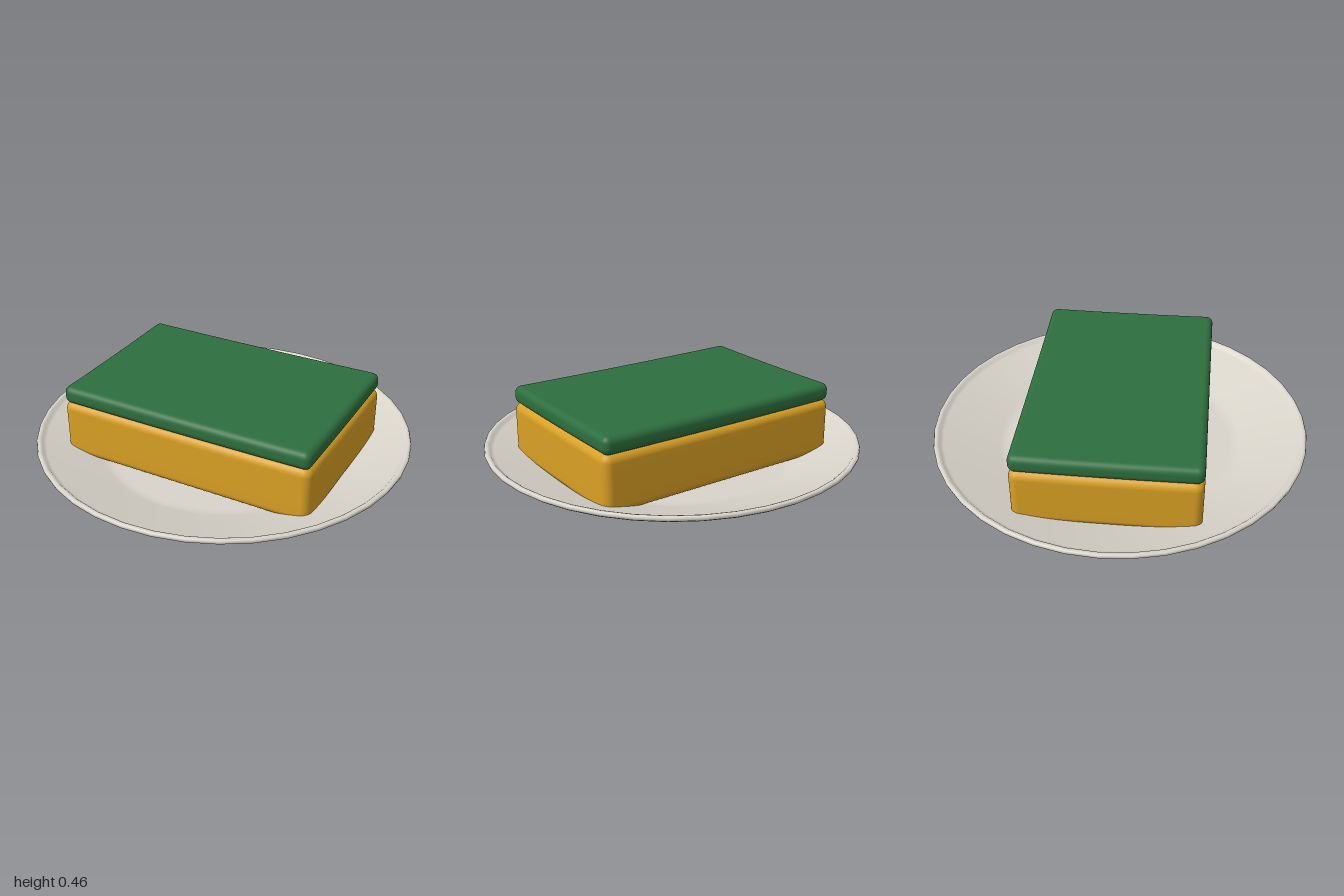
import * as THREE from 'three';
import { mergeVertices } from 'three/addons/utils/BufferGeometryUtils.js';

const paint = (name, color, side = THREE.FrontSide) => {
  const m = new THREE.MeshStandardMaterial({ color, side });
  m.name = name;
  return m;
};

// Rounded block with subdivided faces, so that its surface can be bent
function softBlock(size, radius, bend) {
  const segs = [18, 12, 14];
  const corner = 4; // segments spent on each rounded edge
  const geo = new THREE.BoxGeometry(1, 1, 1, ...segs);
  const pos = geo.attributes.position;
  for (let v = 0; v < pos.count; v++) {
    const core = [], dir = [];
    for (let a = 0; a < 3; a++) {
      const n = segs[a];
      const i = Math.round((pos.getComponent(v, a) + 0.5) * n);
      const half = size[a] / 2 - radius;
      const t = THREE.MathUtils.clamp((i - corner) / (n - 2 * corner), 0, 1);
      core.push((t * 2 - 1) * half);
      const over = i < corner ? i - corner : Math.max(0, i - (n - corner));
      dir.push(Math.tan((over / corner) * Math.PI / 4));
    }
    const p = new THREE.Vector3(...dir).normalize().multiplyScalar(radius).add(new THREE.Vector3(...core));
    bend(p);
    pos.setXYZ(v, p.x, p.y, p.z);
  }
  geo.deleteAttribute('uv');
  geo.deleteAttribute('normal');
  const smooth = mergeVertices(geo, 1e-5);
  smooth.computeVertexNormals();
  return smooth;
}

export function createModel() {
  const model = new THREE.Group();
  const add = (name, geo, mat, y = 0) => {
    const mesh = new THREE.Mesh(geo, mat);
    mesh.name = name;
    mesh.position.y = y;
    model.add(mesh);
  };

  // Plate: underside from the centre outward, rolled rim, then the dish back in
  const profile = [
    [0, 0.003], [0.6, 0.003], [0.62, 0], [0.632, 0.002], [0.638, 0.012], [0.65, 0.036], [0.665, 0.046],
    [0.985, 0.149], [0.997, 0.158], [1, 0.168], [0.996, 0.177], [0.985, 0.179],
    [0.974, 0.176], [0.965, 0.166], [0.95, 0.158], [0.66, 0.067], [0.63, 0.061], [0.6, 0.06], [0, 0.06],
  ].map(([x, y]) => new THREE.Vector2(x, y));
  add('plate', new THREE.LatheGeometry(profile, 40), paint('warm white', 0xd9d4ca, THREE.DoubleSide));

  // Upward curl towards the corners
  const curl = (p) => 0.004 * ((p.x / 0.7) ** 2 + (p.z / 0.47) ** 2);

  // Sponge body: flat underside, gently dished top
  add('spongeBody', softBlock([1.405, 0.302, 0.94], 0.045, (p) => {
    if (p.y > 0) p.y += curl(p) * Math.min(1, p.y / 0.1);
  }), paint('sponge yellow', 0xd9a024), 0.215);

  // Scouring pad on top
  add('scouringPad', softBlock([1.395, 0.096, 0.938], 0.036, (p) => {
    p.y += curl(p);
  }), paint('scourer green', 0x2d6e3e), 0.406);

  return model;
}
